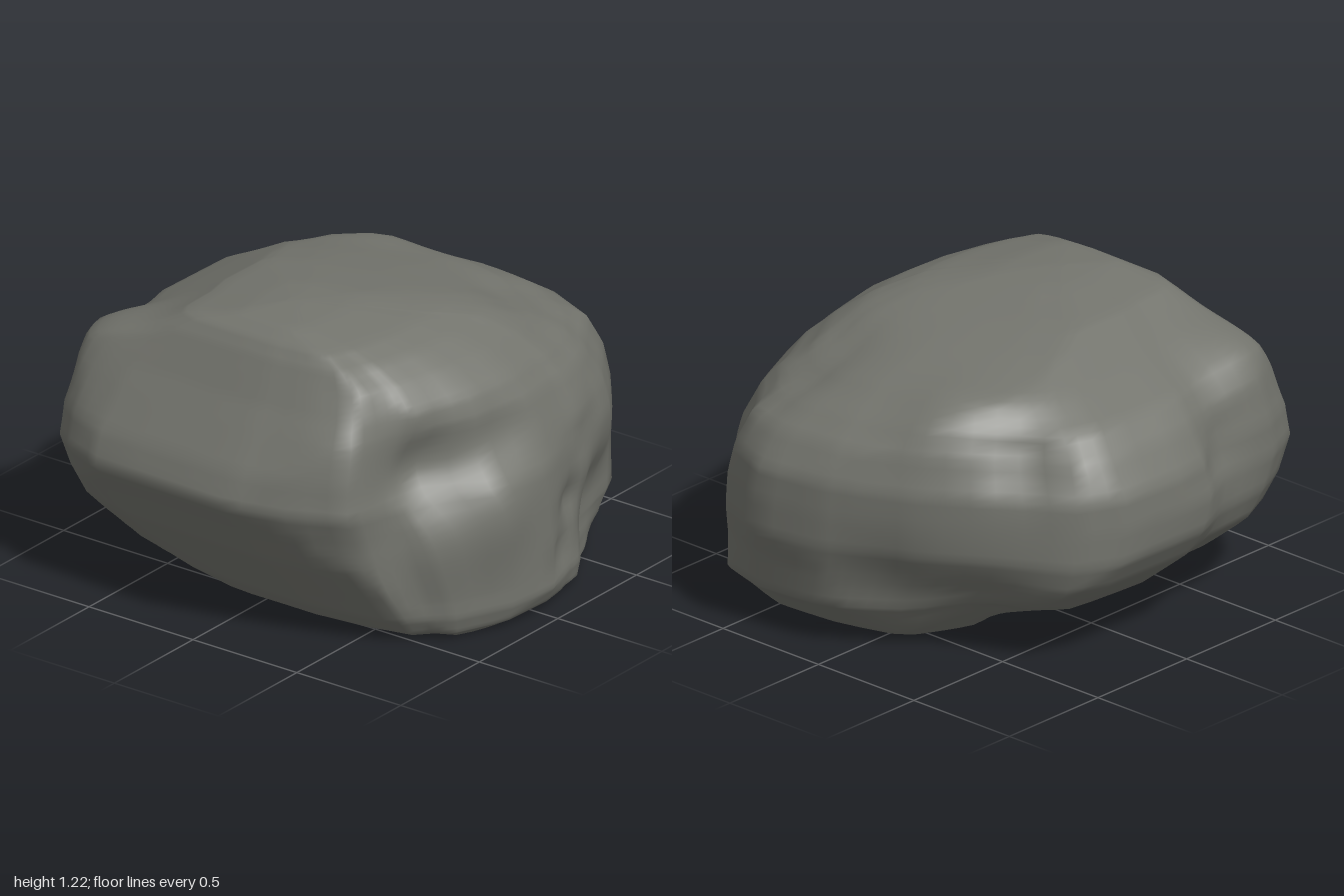
import * as THREE from 'three';

// Plan outline at the widest extent: x, z
const OUTLINE = [
  [-0.98, -0.48], [-0.91, -0.66], [-0.84, -0.76], [-0.66, -0.84], [-0.4, -0.86], [-0.2, -0.95],
  [0.25, -0.93], [0.44, -0.84], [0.62, -0.58], [0.8, -0.32], [0.9, -0.1], [0.96, 0.06],
  [1.0, 0.35], [0.89, 0.6], [0.64, 0.8], [0.35, 0.9], [0.22, 0.9], [0, 0.95],
  [-0.28, 0.92], [-0.55, 0.8], [-0.65, 0.7], [-0.82, 0.62], [-0.93, 0.4], [-1.0, 0.13],
];

// Horizontal sections: height, then x and z limits
const SECTIONS = [
  [0.0, 0.0, 0.1, 0.2, 0.3],
  [0.0, -0.53, 0.68, -0.28, 0.86],
  [0.03, -0.59, 0.73, -0.34, 0.91],
  [0.1, -0.66, 0.81, -0.52, 0.95],
  [0.18, -0.72, 0.91, -0.66, 0.95],
  [0.34, -0.84, 0.95, -0.85, 0.94],
  [0.46, -0.91, 0.99, -0.93, 0.935],
  [0.6, -1.0, 0.995, -0.95, 0.93],
  [0.73, -0.95, 0.985, -0.935, 0.89],
  [0.87, -0.86, 0.9, -0.85, 0.84],
  [0.96, -0.8, 0.79, -0.77, 0.78],
  [1.05, -0.75, 0.62, -0.6, 0.68],
  [1.12, -0.71, 0.34, -0.46, 0.57],
  [1.17, -0.67, 0.08, -0.36, 0.45],
  [1.21, -0.6, -0.18, -0.12, 0.22],
  [1.22, -0.42, -0.36, 0.0, 0.06],
];

// Hollows and swellings: centre, reach, push
const DENTS = [
  [-0.47, 0.7, 0.82, 0.19, 0, 0, -0.16],      // front hollow
  [-0.15, 0.76, 0.88, 0.14, 0, 0, -0.05],     // ledge running from it
  [-0.28, 0.46, 0.9, 0.18, 0, 0.03, 0.04],    // swelling below the ledge
  [-0.8, 0.87, 0.55, 0.2, -0.03, 0, 0.02],    // upper front shoulder
  [0.36, 0.6, 0.85, 0.09, 0, 0, -0.03],       // front groove
  [0.23, 0.38, 0.9, 0.08, 0, 0, -0.04],
  [0.15, 0.2, 0.92, 0.08, 0, 0, -0.04],
  [0.54, 0.2, 0.82, 0.23, -0.04, 0, -0.13],   // lower front recess
  [0.55, 0.96, 0.52, 0.3, -0.05, -0.06, -0.09], // sloping upper front corner
  [0.6, 1.0, -0.3, 0.18, 0.02, 0.03, -0.02],  // upper back edge
  [0.45, 0.85, -0.6, 0.15, -0.05, -0.02, 0.06], // back hollows
  [-0.32, 0.72, -0.88, 0.14, 0, 0, 0.05],
  [-0.6, 0.92, -0.64, 0.2, -0.02, 0.05, -0.05], // lump on the back corner
  [0.85, 0.25, -0.2, 0.24, -0.06, 0, 0.03],   // side crease
  [0.55, 0.15, -0.45, 0.24, -0.05, 0.06, 0.04], // low back corner
  [0.15, 0.04, -0.35, 0.2, 0, 0.07, 0.03],    // undercut at the back
  [-0.4, 0.06, -0.35, 0.17, 0.02, 0.06, 0.04],
  [0.3, 0, 0.1, 0.2, 0, 0.06, 0],             // hollows in the base
  [-0.25, 0, 0.25, 0.22, 0, 0.06, 0],
];

// Insert straight steps between listed rows
function refine(rows, steps, closed) {
  const out = [];
  const spans = closed ? rows.length : rows.length - 1;
  for (let i = 0; i < spans; i++) {
    const next = rows[(i + 1) % rows.length];
    for (let s = 0; s < steps; s++) {
      out.push(rows[i].map((v, k) => v + (next[k] - v) * s / steps));
    }
  }
  if (!closed) out.push(rows[rows.length - 1]);
  return out;
}

// Fit an outline coordinate to a section: part scaled, part cut off, for full corners
function fit(v, reach, low, high) {
  const scaled = THREE.MathUtils.mapLinear(v, -reach, reach, low, high);
  const cut = THREE.MathUtils.clamp(v, low, high);
  return THREE.MathUtils.lerp(scaled, cut, 0.36);
}

function dent(p) {
  const moved = p.clone();
  for (const [x, y, z, reach, dx, dy, dz] of DENTS) {
    const d2 = (p.x - x) ** 2 + (p.y - y) ** 2 + (p.z - z) ** 2;
    const w = Math.exp(-d2 / (reach * reach));
    moved.add(new THREE.Vector3(dx * w, dy * w, dz * w));
  }
  moved.y = Math.max(0, moved.y);
  return moved;
}

function boulderGeometry() {
  const outline = refine(OUTLINE, 3, true);
  const sections = refine(SECTIONS, 4, false);
  const n = outline.length;
  const points = [];
  const index = [];

  for (const [y, x0, x1, z0, z1] of sections) {
    for (const [px, pz] of outline) {
      points.push(dent(new THREE.Vector3(fit(px, 1, x0, x1), y, fit(pz, 0.95, z0, z1))));
    }
  }
  for (let i = 0; i < sections.length - 1; i++) {
    for (let j = 0; j < n; j++) {
      const k = (j + 1) % n;
      const a = i * n + j, b = i * n + k;
      index.push(a, a + n, b, b, a + n, b + n);
    }
  }
  // Close the underside and crown
  const top = (sections.length - 1) * n;
  for (let j = 1; j < n - 1; j++) {
    index.push(0, j, j + 1);
    index.push(top, top + j + 1, top + j);
  }
  const geometry = new THREE.BufferGeometry().setFromPoints(points);
  geometry.setIndex(index);
  geometry.computeVertexNormals();
  return geometry;
}

export function createModel() {
  const stone = new THREE.MeshStandardMaterial({ color: 0x73746d });
  stone.name = 'grey stone';
  const boulder = new THREE.Mesh(boulderGeometry(), stone);
  boulder.name = 'boulder';
  const group = new THREE.Group();
  group.name = 'rock';
  group.add(boulder);
  return group;
}
